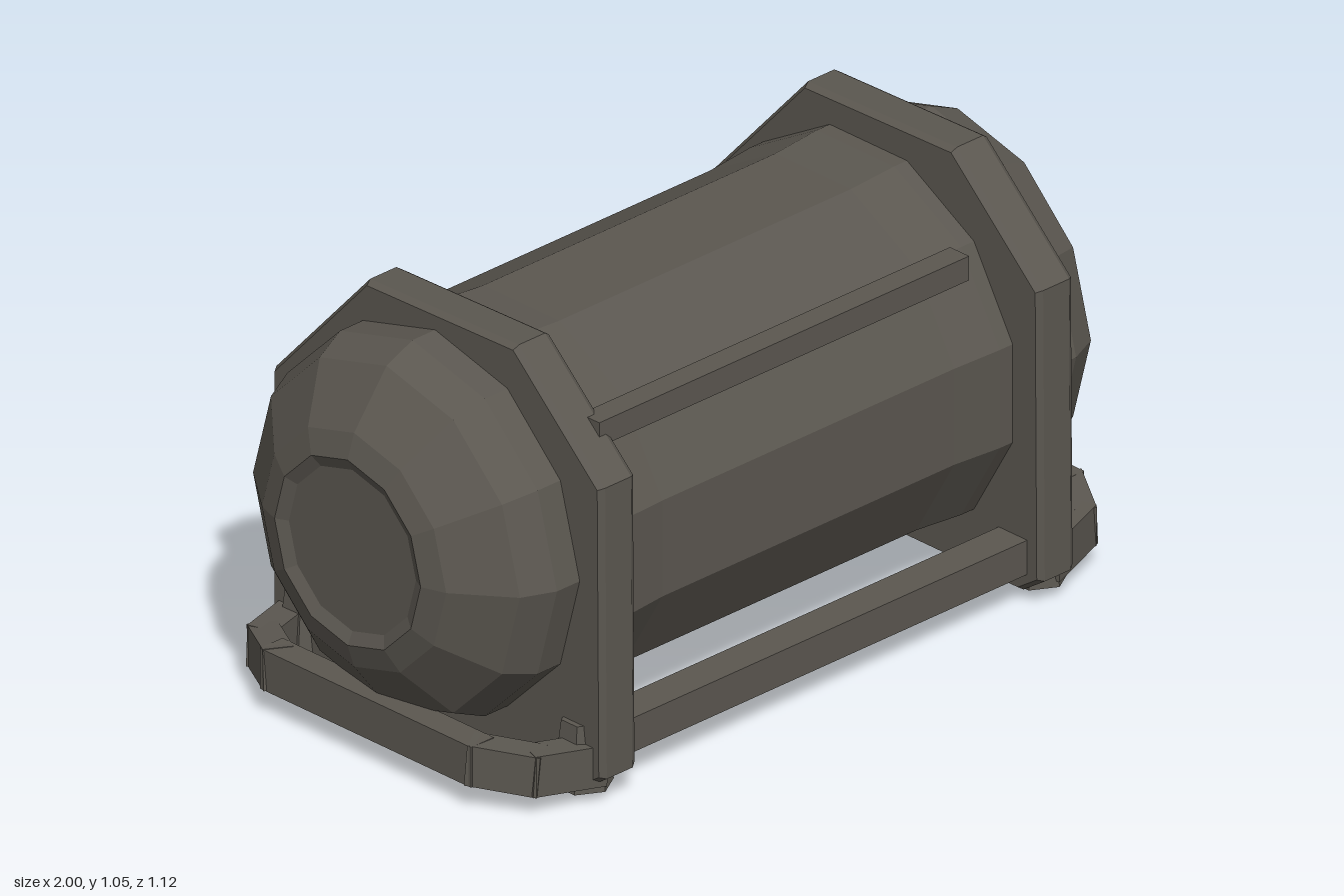
import * as THREE from 'three';

export function createModel() {
  const model = new THREE.Group();
  model.name = 'tankInFrame';
  const metal = new THREE.MeshStandardMaterial({ color: 0x5b5750, flatShading: true });
  metal.name = 'dark grey metal';

  const add = (name, geometry, x = 0, y = 0, z = 0, parent = model) => {
    const mesh = new THREE.Mesh(geometry, metal);
    mesh.name = name;
    mesh.position.set(x, y, z);
    parent.add(mesh);
    return mesh;
  };

  // Square beam between two points
  const beam = (name, a, b, w, h, parent = model) => {
    const from = new THREE.Vector3(...a), to = new THREE.Vector3(...b);
    const mesh = add(name, new THREE.BoxGeometry(w, h, from.distanceTo(to) + w * 0.5), 0, 0, 0, parent);
    mesh.position.copy(from).add(to).multiplyScalar(0.5);
    mesh.lookAt(to);
    return mesh;
  };
  const chain = (name, points, w, h) => {
    const group = new THREE.Group();
    group.name = name;
    model.add(group);
    for (let i = 1; i < points.length; i++) beam(name + 'Part', points[i - 1], points[i], w, h, group);
  };

  // Faceted solid turned about the x axis, profile given as x, radius
  const turned = (profile, phase) => {
    const geometry = new THREE.LatheGeometry(profile.map(([x, r]) => new THREE.Vector2(r, x)), 12, phase);
    return geometry.rotateZ(-Math.PI / 2);
  };

  // Barrel, a little wider where it meets the frame
  add('barrel', turned([[-0.7, 0.47], [-0.58, 0.47], [-0.45, 0.46], [0.45, 0.46], [0.58, 0.47], [0.7, 0.47]], Math.PI / 12), 0, 0.515, 0.02);

  // Domed ends with a shallow recess
  const dome = [[0.66, 0.455], [0.8, 0.455], [0.88, 0.42], [0.98, 0.29], [1, 0.23], [0.985, 0.2], [0.985, 0]];
  add('leftDome', turned(dome, 0), 0, 0.545, 0.035);
  add('rightDome', turned(dome.map(([x, r]) => [-x, r]).reverse(), 0), 0, 0.545, 0.035);

  // Eight-sided frame plates, outline given as z, y
  const outline = [[0.28, 1.04], [-0.18, 1.03], [-0.47, 0.71], [-0.47, 0.08], [-0.43, 0.04], [0.49, 0.04], [0.55, 0.08], [0.545, 0.79]];
  const plateShape = new THREE.Shape(outline.map(([z, y]) => new THREE.Vector2(-z, y)));
  for (const side of [-1, 1]) {
    const plate = new THREE.ExtrudeGeometry(plateShape, {
      depth: 0.08, bevelEnabled: true, bevelThickness: 0.015, bevelSize: 0.01, bevelSegments: 1,
    });
    plate.translate(0, 0, -0.04);
    plate.rotateY(Math.PI / 2);
    add('framePlate', plate, side * 0.675);

    // Feet at the frame corners
    for (const z of [0.47, -0.4]) {
      add('cornerFoot', new THREE.CylinderGeometry(0.05, 0.07, 0.16, 6), side * 0.7, 0.11, z);
    }

    // Bumper loop round the lower end
    chain('endBumper', [
      [0.7, 0.095, 0.505], [0.84, 0.105, 0.46], [0.91, 0.115, 0.35],
      [0.91, 0.115, -0.28], [0.85, 0.105, -0.38], [0.7, 0.095, -0.43],
    ].map(([x, y, z]) => [side * x, y, z]), 0.07, 0.1);
  }

  // Long rails joining the plates
  beam('frontRail', [-0.62, 0.125, 0.475], [0.62, 0.125, 0.475], 0.09, 0.085);
  beam('backRail', [-0.62, 0.11, -0.425], [0.62, 0.11, -0.425], 0.07, 0.085);

  // Slim rail along the upper front, carried by a short post
  beam('upperRail', [-0.64, 0.875, 0.445], [0.47, 0.875, 0.445], 0.06, 0.06);
  beam('upperRailPost', [0.46, 0.87, 0.44], [0.46, 0.78, 0.32], 0.05, 0.05);

  // Arched handle on the back
  chain('backHandle', [
    [-0.6, 0.5, -0.46], [-0.52, 0.52, -0.5], [-0.25, 0.52, -0.52], [0, 0.52, -0.53], [0.2, 0.52, -0.52], [0.26, 0.5, -0.43],
  ], 0.05, 0.11);
  for (const x of [-0.55, 0.22]) {
    chain('handleLeg', [[x, 0.52, -0.5], [x, 0.3, -0.505], [x, 0.23, -0.42]], 0.06, 0.06);
  }

  // Drain fittings underneath
  const drain = add('drainFitting', new THREE.CylinderGeometry(0.17, 0.1, 0.07, 6), -0.1, 0.04, -0.09);
  drain.scale.x = 1.3;
  add('drainCap', new THREE.CylinderGeometry(0.1, 0.06, 0.05, 5), 0.33, 0.06, -0.12);

  return model;
}
